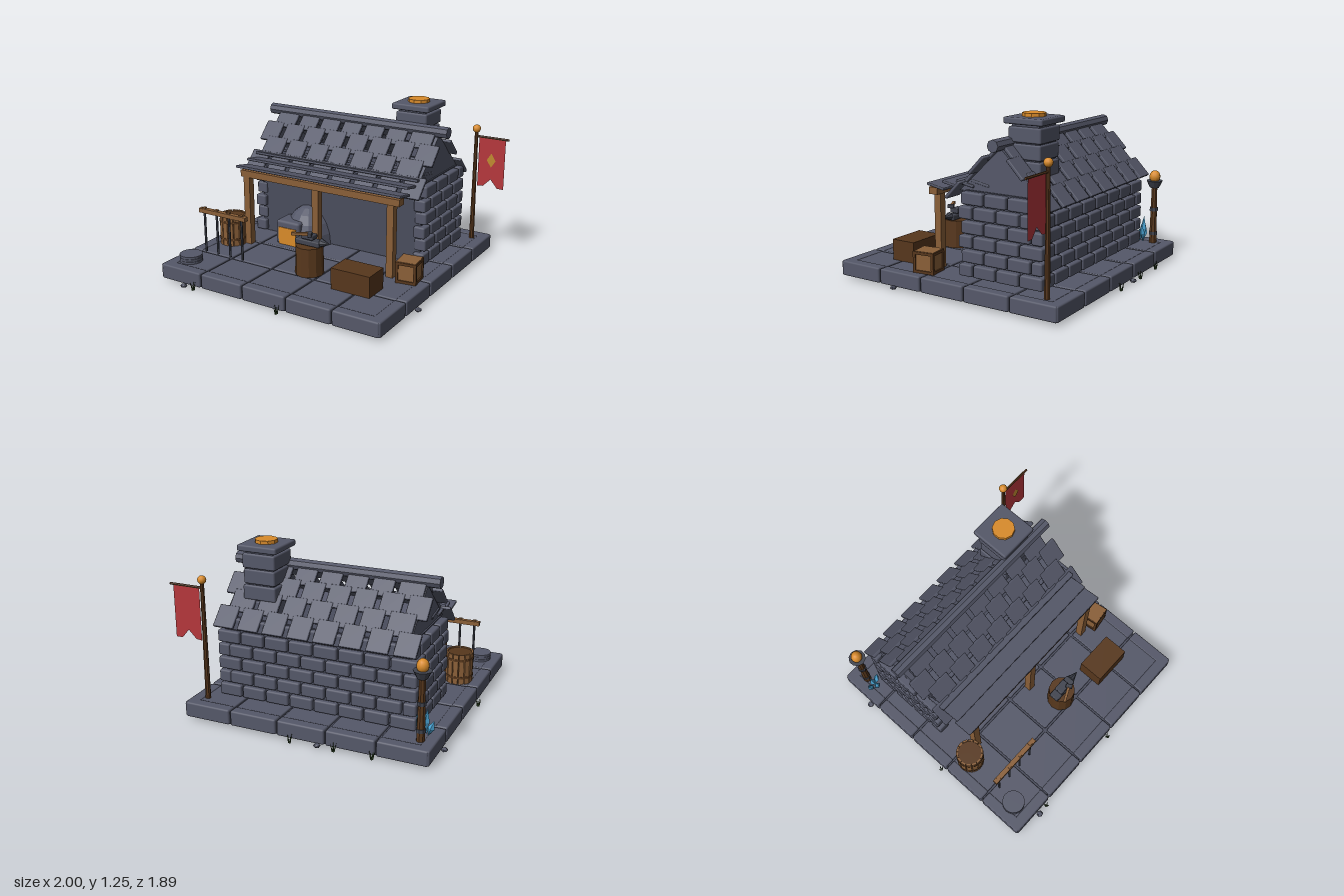
import * as THREE from 'three';
import { RoundedBoxGeometry } from 'three/addons/geometries/RoundedBoxGeometry.js';

const mat = (name, color, extra = {}) => {
  const m = new THREE.MeshStandardMaterial({ color, ...extra });
  m.name = name;
  return m;
};
const stone = mat('slate stone', 0x555869);
const mortar = mat('dark slate', 0x4a4d5d);
const metal = mat('iron', 0x41444f);
const wood = mat('oak', 0x8a5f38);
const darkWood = mat('dark oak', 0x57371c);
const glow = mat('amber', 0xd98b2a);
const red = mat('banner red', 0xb5373c, { side: THREE.DoubleSide });
const gold = mat('gold', 0xc08a30);
const blue = mat('crystal blue', 0x4aa5d6);
const green = mat('grass green', 0x2c4222, { side: THREE.DoubleSide });

// flat-shaded copy of a geometry
const flat = (g) => {
  const f = g.index ? g.toNonIndexed() : g;
  f.computeVertexNormals();
  return f;
};
const cyl = (rt, rb, h, n = 12) => flat(new THREE.CylinderGeometry(rt, rb, h, n));
const box = (w, h, d) => new THREE.BoxGeometry(w, h, d);
const round = (w, h, d, r = 0.012) => new RoundedBoxGeometry(w, h, d, 1, Math.min(r, w / 2.1, h / 2.1, d / 2.1));

function add(parent, name, geo, m, x, y, z) {
  const mesh = new THREE.Mesh(geo, m);
  mesh.name = name;
  mesh.position.set(x, y, z);
  parent.add(mesh);
  return mesh;
}
function group(parent, name, x = 0, y = 0, z = 0) {
  const g = new THREE.Group();
  g.name = name;
  g.position.set(x, y, z);
  parent.add(g);
  return g;
}

function foundation(root) {
  const g = group(root, 'foundation', -0.055, 0, 0);
  add(g, 'slab', box(1.76, 0.09, 1.76), mortar, 0, 0.065, 0);
  for (let i = -2; i <= 2; i++) {
    const p = i * 0.361;
    for (const s of [-1, 1]) {
      add(g, 'rimBlock', round(0.35, 0.11, 0.085), stone, p, 0.075, s * 0.86);
      add(g, 'rimBlock', round(0.085, 0.11, 0.35), stone, s * 0.862, 0.075, p);
    }
    for (let j = -2; j <= 2; j++) {
      const w = Math.abs(i) === 2 ? 0.29 : 0.345, d = Math.abs(j) === 2 ? 0.29 : 0.345;
      add(g, 'floorTile', round(w, 0.03, d, 0.008), stone,
        p - Math.sign(i) * (0.345 - w) / 2, 0.11, j * 0.361 - Math.sign(j) * (0.345 - d) / 2);
    }
  }
}

// running-bond courses between a and b; put(centre, length, y)
function courses(a, b, put) {
  for (let r = 0; r < 6; r++) {
    for (let s = a - (r % 2) * 0.09; s < b - 0.02; s += 0.185) {
      const lo = Math.max(a, s), hi = Math.min(b, s + 0.172);
      if (hi - lo > 0.025) put((lo + hi) / 2, hi - lo, 0.18 + r * 0.1);
    }
  }
}

function house(root) {
  const g = group(root, 'house');
  add(g, 'wallCore', box(1.38, 0.6, 0.59), mortar, -0.05, 0.43, -0.36);
  for (const x of [-0.745, 0.64])
    courses(-0.69, -0.03, (c, l, y) => add(g, 'sideStone', round(0.09, 0.086, l), stone, x, y, c));
  courses(-0.78, 0.68, (c, l, y) => add(g, 'backStone', round(l, 0.086, 0.08), stone, c, y, -0.65));

  const tri = new THREE.Shape([[-0.33, 0], [0.33, 0], [0, 0.31]].map((p) => new THREE.Vector2(...p)));
  for (const x of [-0.73, 0.59]) {
    const geo = new THREE.ExtrudeGeometry(tri, { depth: 0.04, bevelEnabled: false });
    add(g, 'gable', geo, stone, x, 0.72, -0.34).rotation.y = Math.PI / 2;
  }

  // two slopes of staggered shingles
  for (const s of [1, -1]) {
    const slope = group(g, s > 0 ? 'frontRoof' : 'backRoof', -0.055, 1.05, -0.33);
    slope.rotation.x = s * 0.766;
    for (let r = 0; r < 4; r++) {
      const n = r % 2 ? 8 : 7;
      for (let i = 0; i < n; i++) {
        const end = n === 7 ? (i === 0 ? -1 : i === 6 ? 1 : 0) : 0;
        const tile = add(slope, 'shingle', round(0.155 + Math.abs(end) * 0.025, 0.024, 0.17, 0.007), stone,
          (i - (n - 1) / 2) * 0.19 + end * 0.012, 0.006, s * (0.07 + r * 0.135));
        tile.rotation.x = s * 0.04;
      }
    }
  }
  add(g, 'ridgeBeam', cyl(0.043, 0.043, 1.53, 8), stone, -0.055, 1.055, -0.33).rotation.z = Math.PI / 2;

  // chimney
  const c = group(g, 'chimney', 0.405, 0, -0.455);
  for (let i = 0; i < 5; i++)
    add(c, 'chimneyCourse', round(i % 2 ? 0.24 : 0.25, 0.104, i % 2 ? 0.24 : 0.25), stone, 0, 1.113 - i * 0.112, 0);
  add(c, 'chimneyCore', box(0.21, 0.55, 0.21), mortar, 0, 0.92, 0);
  add(c, 'chimneyCap', round(0.3, 0.045, 0.3), stone, 0, 1.205, 0);
  add(c, 'embers', cyl(0.08, 0.08, 0.03, 10), glow, 0, 1.236, 0);
}

function porch(root) {
  const g = group(root, 'porch');
  for (const x of [-0.665, -0.055, 0.557]) add(g, 'post', box(0.053, 0.54, 0.053), wood, x, 0.39, 0.22);
  add(g, 'beam', box(1.34, 0.05, 0.07), wood, -0.04, 0.685, 0.22);
  [[0.193, 0.721], [0.068, 0.748], [-0.055, 0.768], [-0.175, 0.782]].forEach(([z, y], i) => {
    add(g, 'awningBoard', round(1.39 - (i % 2) * 0.02, 0.02, 0.148, 0.006), stone, -0.052, y, z).rotation.x = -0.18;
  });
}

function forge(root) {
  const g = group(root, 'forge');
  const dome = flat(new THREE.SphereGeometry(0.2, 12, 5, 0, Math.PI * 2, 0, Math.PI / 2));
  add(g, 'dome', dome, stone, -0.315, 0.125, -0.075).scale.y = 1.42;
  add(g, 'mouth', round(0.21, 0.19, 0.18, 0.02), stone, -0.387, 0.22, 0.035);
  add(g, 'fire', box(0.155, 0.135, 0.008), glow, -0.386, 0.197, 0.127);
}

function workshop(root) {
  // anvil on a stump, with a hammer
  const a = group(root, 'anvilStand', 0.037, 0, 0.46);
  add(a, 'stump', cyl(0.098, 0.103, 0.21), darkWood, 0, 0.23, 0);
  add(a, 'anvilBody', round(0.2, 0.04, 0.075, 0.008), metal, 0, 0.358, 0);
  add(a, 'anvilWaist', box(0.07, 0.03, 0.045), metal, 0, 0.385, 0);
  add(a, 'anvilTop', round(0.095, 0.035, 0.07, 0.008), metal, 0, 0.4, 0);
  add(a, 'horn', cyl(0, 0.032, 0.075, 8), metal, 0.135, 0.37, 0).rotation.z = -Math.PI / 2;
  add(a, 'hammerHandle', box(0.125, 0.02, 0.02), wood, -0.03, 0.432, 0.066).rotation.y = 0.44;
  add(a, 'hammerHead', round(0.03, 0.03, 0.05, 0.006), metal, 0.03, 0.43, 0.038).rotation.y = 0.44;

  // chest
  const c = group(root, 'chest', 0.46, 0, 0.52);
  add(c, 'chestBody', box(0.3, 0.155, 0.19), darkWood, 0, 0.2, 0);

  // crate: light panels in a dark frame
  const k = group(root, 'crate', 0.7, 0.205, 0.215);
  k.rotation.y = 0.13;
  add(k, 'cratePanels', box(0.135, 0.14, 0.145), wood, 0, 0, 0);
  add(k, 'crateLid', box(0.14, 0.012, 0.15), wood, 0, 0.073, 0);
  for (const s of [-1, 1]) for (const t of [-1, 1]) {
    add(k, 'crateEdge', box(0.02, 0.155, 0.02), darkWood, s * 0.066, 0, t * 0.071);
    add(k, 'crateEdge', box(0.145, 0.02, 0.02), darkWood, 0, s * 0.066, t * 0.071);
    add(k, 'crateEdge', box(0.02, 0.02, 0.155), darkWood, s * 0.066, t * 0.066, 0);
  }

  // barrel of staves and hoops
  const b = group(root, 'barrel', -0.785, 0, 0.275);
  add(b, 'barrelCore', cyl(0.09, 0.085, 0.21, 14), darkWood, 0, 0.23, 0);
  for (let i = 0; i < 14; i++) {
    const t = i / 14 * Math.PI * 2;
    add(b, 'stave', box(0.037, 0.23, 0.014), wood, Math.sin(t) * 0.092, 0.238, Math.cos(t) * 0.092).rotation.y = t;
  }
  for (const y of [0.175, 0.31]) add(b, 'hoop', cyl(0.103, 0.103, 0.018, 14), darkWood, 0, y, 0);
  add(b, 'barrelTop', cyl(0.088, 0.088, 0.015, 14), darkWood, 0, 0.338, 0);

  // stacked millstones
  for (let i = 0; i < 3; i++)
    add(root, 'stoneDisc', cyl(0.083, 0.083, 0.017, 20), stone, -0.815, 0.136 + i * 0.019, 0.735);

  // tool rack
  const r = group(root, 'toolRack', -0.63, 0, 0.58);
  add(r, 'rackRail', box(0.42, 0.032, 0.036), wood, 0, 0.47, 0);
  for (let i = 0; i < 4; i++) {
    const x = -0.17 + i * 0.112;
    add(r, 'rod', cyl(0.009, 0.009, 0.31, 6), metal, x, 0.305, 0);
    add(r, 'peg', box(0.025, 0.012, 0.025), wood, x, 0.489, 0);
  }
}

function lanternAndBanner(root) {
  const l = group(root, 'lantern', -0.855, 0, -0.765);
  add(l, 'lanternPost', cyl(0.022, 0.03, 0.46, 8), darkWood, 0, 0.35, 0);
  for (const y of [0.2, 0.39]) add(l, 'collar', cyl(0.033, 0.033, 0.025, 8), metal, 0, y, 0);
  add(l, 'bowl', cyl(0.063, 0.035, 0.055, 10), metal, 0, 0.587, 0);
  add(l, 'flame', new THREE.SphereGeometry(0.042, 12, 8), glow, 0, 0.645, 0).scale.y = 1.15;

  const f = group(root, 'banner', 0.74, 0, -0.765);
  add(f, 'pole', cyl(0.014, 0.02, 0.86, 8), darkWood, 0, 0.55, 0);
  add(f, 'finial', new THREE.SphereGeometry(0.031, 12, 8), glow, 0, 1, 0);
  add(f, 'crossbar', cyl(0.009, 0.009, 0.26, 6), darkWood, 0.13, 0.943, 0).rotation.z = Math.PI / 2;
  const shape = (pts) => new THREE.ShapeGeometry(new THREE.Shape(pts.map((p) => new THREE.Vector2(...p))));
  add(f, 'cloth', shape([[0.025, 0.94], [0.025, 0.555], [0.07, 0.56], [0.13, 0.62], [0.185, 0.555], [0.235, 0.555], [0.235, 0.94]]), red, 0, 0, 0);
  add(f, 'diamond', shape([[0.13, 0.825], [0.095, 0.77], [0.13, 0.715], [0.165, 0.77]]), gold, 0, 0, 0.006);
}

function nature(root) {
  [[-0.86, -0.68, 0.1, 0.1], [-0.82, -0.69, 0.075, -0.3], [-0.895, -0.675, 0.06, 0.35], [-0.85, -0.655, 0.05, -0.1]].forEach(([x, z, h, tilt]) => {
    const m = add(root, 'crystal', flat(new THREE.OctahedronGeometry(1)), blue, x, 0.12 + h, z);
    m.scale.set(0.024, h, 0.024);
    m.rotation.z = tilt;
  });
  [[-0.98, 0.14], [-0.65, 0.92], [0.07, 0.92], [-0.58, -0.915], [-0.31, -0.92], [0.01, -0.925]].forEach(([x, z], k) => {
    const g = group(root, 'grassTuft', x, 0, z);
    for (let i = 0; i < 4; i++) {
      const t = i * 1.7 + k;
      const m = add(g, 'blade', new THREE.ConeGeometry(0.007, 0.065, 3), green, Math.cos(t) * 0.013, 0.033, Math.sin(t) * 0.013);
      m.rotation.set(Math.sin(t) * 0.25, 0, -Math.cos(t) * 0.25);
    }
  });
  [[-0.975, -0.63], [-0.19, -0.92], [0.865, 0.4], [-0.73, 0.925]].forEach(([x, z], i) => {
    const m = add(root, 'pebble', flat(new THREE.IcosahedronGeometry(0.026, 0)), stone, x, 0.02, z);
    m.scale.y = 0.6;
    m.rotation.y = i;
  });
}

export function createModel() {
  const root = new THREE.Group();
  root.name = 'smithy';
  [foundation, house, porch, forge, workshop, lanternAndBanner, nature].forEach((build) => build(root));
  return root;
}
